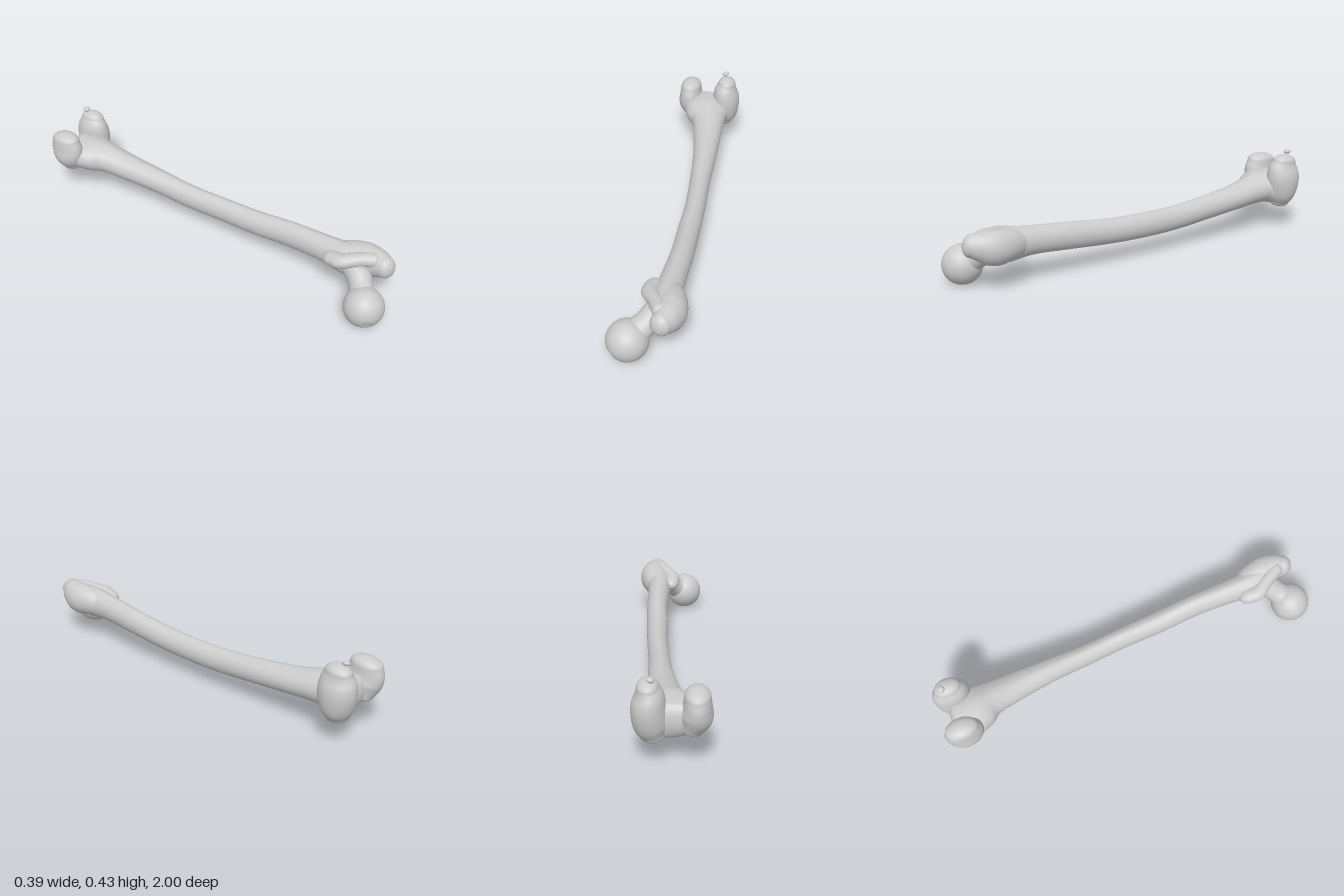
import * as THREE from 'three';

const material = new THREE.MeshStandardMaterial({ color: 0xcccccc });

function addMesh(group, name, geometry) {
  const mesh = new THREE.Mesh(geometry, material);
  mesh.name = name;
  group.add(mesh);
  return mesh;
}

// Smooth loft through stations [x, y, z, radiusA, radiusB, tilt].
// radiusA lies along x, radiusB across it; caps are the lengths of the rounded ends.
function loft(stations, caps, { rings = 40, sides = 40, ridge = 0 } = {}) {
  const spline = (pick) => new THREE.CatmullRomCurve3(
    stations.map((s) => new THREE.Vector3(...pick(s))), false, 'catmullrom');
  const path = spline((s) => s.slice(0, 3));
  const size = spline((s) => [s[3], s[4], s[5] || 0]);
  const capSteps = 10;
  const positions = [];
  const index = [];
  let count = 0;

  const addRing = (t, scale, shift) => {
    const tangent = path.getTangent(t);
    const centre = path.getPoint(t).addScaledVector(tangent, shift);
    const side = new THREE.Vector3(1, 0, 0);
    side.addScaledVector(tangent, -side.dot(tangent)).normalize();
    const up = new THREE.Vector3().crossVectors(tangent, side);
    const r = size.getPoint(t);
    for (let j = 0; j < sides; j++) {
      const a = (j / sides) * Math.PI * 2;
      const crest = 1 + ridge * Math.exp(-(((a - Math.PI / 2) / 0.3) ** 2));
      const u = Math.cos(a) * r.x * scale;
      const v = Math.sin(a) * r.y * scale * crest;
      const c = Math.cos(r.z), s = Math.sin(r.z);
      const p = centre.clone()
        .addScaledVector(side, u * c - v * s)
        .addScaledVector(up, u * s + v * c);
      positions.push(p.x, p.y, p.z);
    }
    count++;
  };

  for (let i = 0; i < capSteps; i++) {
    const a = (1 - i / capSteps) * Math.PI / 2;
    addRing(0, Math.cos(a), -caps[0] * Math.sin(a));
  }
  for (let i = 0; i <= rings; i++) addRing(i / rings, 1, 0);
  for (let i = 1; i <= capSteps; i++) {
    const a = (i / capSteps) * Math.PI / 2;
    addRing(1, Math.cos(a), caps[1] * Math.sin(a));
  }
  for (let i = 0; i < count - 1; i++) {
    for (let j = 0; j < sides; j++) {
      const k = (j + 1) % sides;
      const a = i * sides + j, b = i * sides + k;
      index.push(a, b, a + sides, b, b + sides, a + sides);
    }
  }
  const geometry = new THREE.BufferGeometry();
  geometry.setAttribute('position', new THREE.Float32BufferAttribute(positions, 3));
  geometry.setIndex(index);
  geometry.computeVertexNormals();
  return geometry;
}

// Ball of the joint with a shallow pit facing away from the neck
function headGeometry(radius) {
  const geometry = new THREE.SphereGeometry(radius, 48, 32);
  const pit = new THREE.Vector3(-0.65, -0.35, 0.6).normalize();
  const position = geometry.attributes.position;
  const p = new THREE.Vector3();
  for (let i = 0; i < position.count; i++) {
    p.fromBufferAttribute(position, i);
    const angle = p.angleTo(pit);
    p.multiplyScalar(1 - 0.08 * Math.exp(-((angle / 0.18) ** 2)));
    position.setXYZ(i, p.x, p.y, p.z);
  }
  geometry.computeVertexNormals();
  return geometry;
}

export function createModel() {
  const bone = new THREE.Group();
  bone.name = 'thighBone';

  // Bowed shaft, flaring into the knee end, with a raised line along its back
  addMesh(bone, 'shaft', loft([
    [-0.015, 0.220, -0.90, 0.145, 0.082, -0.15],
    [-0.018, 0.223, -0.85, 0.140, 0.083, -0.15],
    [-0.014, 0.224, -0.80, 0.122, 0.082, -0.1],
    [0.003, 0.217, -0.73, 0.090, 0.074, -0.05],
    [0.020, 0.200, -0.60, 0.075, 0.066],
    [0.040, 0.181, -0.40, 0.060, 0.063],
    [0.053, 0.164, -0.20, 0.053, 0.063],
    [0.068, 0.163, 0.00, 0.052, 0.063],
    [0.075, 0.170, 0.20, 0.055, 0.063],
    [0.083, 0.189, 0.40, 0.055, 0.066],
    [0.080, 0.203, 0.60, 0.060, 0.069],
    [0.080, 0.203, 0.72, 0.072, 0.080],
    [0.092, 0.205, 0.80, 0.082, 0.080],
  ], [0.045, 0.05], { rings: 120, ridge: 0.05 }));

  // Two knuckles of the knee end, lofted upward
  addMesh(bone, 'lateralCondyle', loft([
    [0.055, 0.150, -0.895, 0.055, 0.058],
    [0.066, 0.200, -0.897, 0.075, 0.082],
    [0.075, 0.270, -0.900, 0.076, 0.094],
    [0.073, 0.330, -0.900, 0.066, 0.088],
    [0.078, 0.375, -0.903, 0.048, 0.066],
  ], [0.028, 0.036]));
  addMesh(bone, 'medialCondyle', loft([
    [-0.105, 0.190, -0.895, 0.055, 0.065],
    [-0.124, 0.245, -0.900, 0.071, 0.090],
    [-0.129, 0.295, -0.905, 0.062, 0.094],
    [-0.129, 0.338, -0.908, 0.056, 0.082],
  ], [0.028, 0.039]));

  // Hip end: ball, neck and the two bony prominences joined by a crest
  addMesh(bone, 'head', headGeometry(0.0975)).position.set(-0.059, 0.0975, 0.903);
  addMesh(bone, 'neck', loft([
    [-0.045, 0.110, 0.890, 0.075, 0.072],
    [0.000, 0.146, 0.850, 0.058, 0.058],
    [0.040, 0.176, 0.810, 0.062, 0.060],
    [0.085, 0.200, 0.750, 0.075, 0.072],
  ], [0.02, 0.04]));
  addMesh(bone, 'greaterTrochanter', loft([
    [0.085, 0.205, 0.66, 0.052, 0.058],
    [0.105, 0.212, 0.74, 0.070, 0.077],
    [0.115, 0.215, 0.81, 0.076, 0.085],
    [0.110, 0.228, 0.865, 0.066, 0.073],
    [0.095, 0.237, 0.915, 0.050, 0.055],
  ], [0.06, 0.04]));
  addMesh(bone, 'trochantericCrest', loft([
    [0.080, 0.262, 0.860, 0.036, 0.036],
    [0.050, 0.256, 0.800, 0.036, 0.034],
    [0.010, 0.238, 0.730, 0.043, 0.035],
    [0.012, 0.228, 0.680, 0.042, 0.034],
  ], [0.03, 0.05]));

  // Loose pebble-shaped bone above the lateral knuckle
  const pebble = addMesh(bone, 'sesamoid', new THREE.SphereGeometry(1, 20, 14));
  pebble.scale.set(0.018, 0.012, 0.018);
  pebble.position.set(0.065, 0.421, -0.93);
  pebble.rotation.z = 0.25;

  return bone;
}
